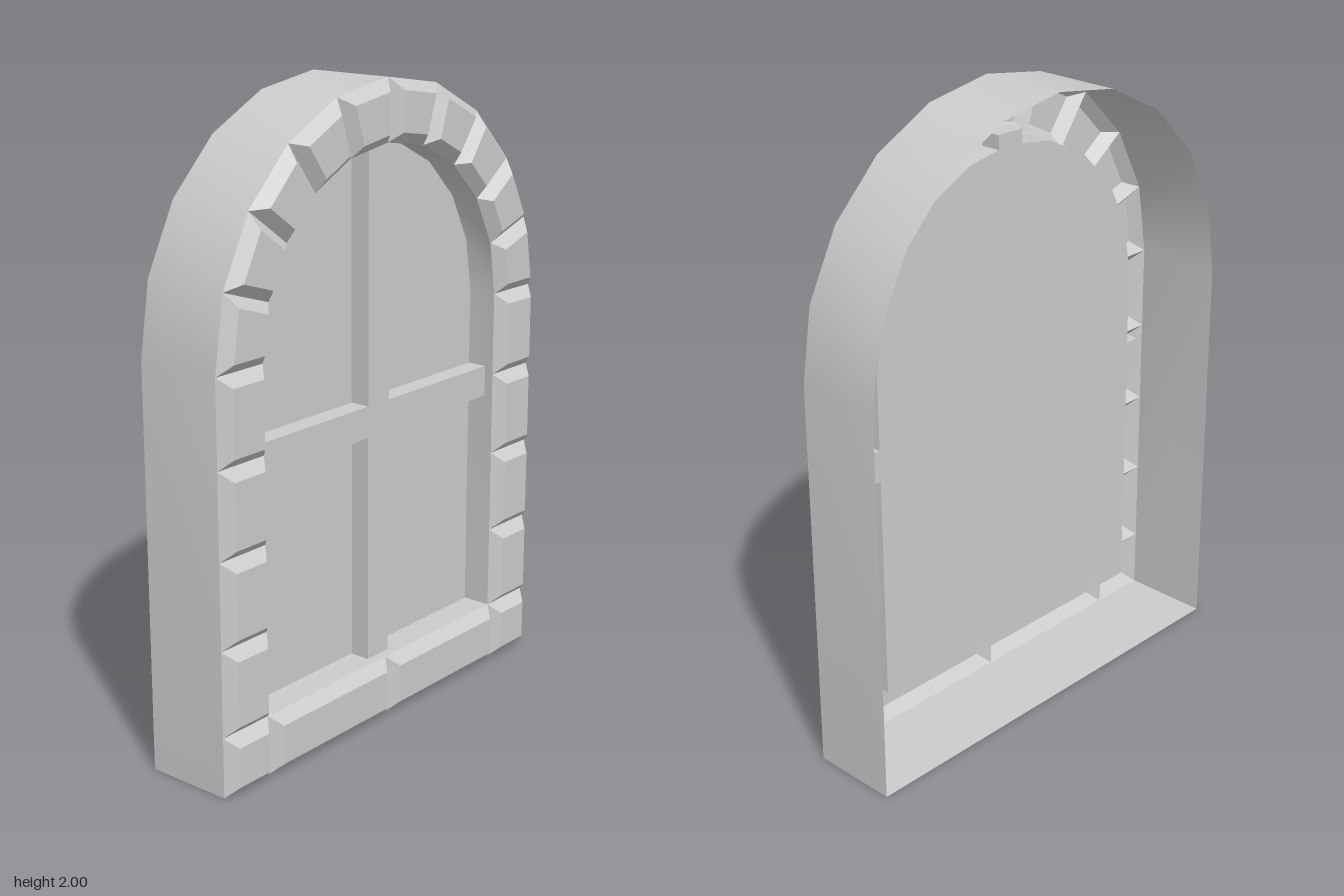
import * as THREE from 'three';
import { toCreasedNormals } from 'three/addons/utils/BufferGeometryUtils.js';

const BACK = -0.16, BASE = 0.125, FRONT = 0.16, PANE = 0.03;
const OUTER = 0.74, INNER = 0.55, SILL = 0.19, SPRING = 1.263, BEVEL = 0.033;
const ARCH_STONES = 10;

const material = new THREE.MeshStandardMaterial({ color: 0xcccccc, side: THREE.DoubleSide });

function addMesh(parent, geometry, name) {
  const mesh = new THREE.Mesh(geometry, material);
  mesh.name = name;
  parent.add(mesh);
  return mesh;
}

// Point on the arch, counted from the model's left
function archPoint(r, i) {
  const a = (i / ARCH_STONES) * Math.PI;
  return new THREE.Vector2(r * Math.cos(a), SPRING + r * Math.sin(a));
}

// Counter-clockwise outline: straight jambs below a faceted half circle
function outline(r, bottom) {
  const pts = [new THREE.Vector2(-r, bottom), new THREE.Vector2(r, bottom)];
  for (let i = 0; i <= ARCH_STONES; i++) pts.push(archPoint(r, i));
  return pts;
}

// Band of quads joining a closed outline at one depth to another
function band(a, za, b, zb) {
  const v = [];
  a.forEach((p, i) => {
    const j = (i + 1) % a.length, q = a[j], r = b[j], s = b[i];
    v.push(p.x, p.y, za, q.x, q.y, za, r.x, r.y, zb);
    v.push(p.x, p.y, za, r.x, r.y, zb, s.x, s.y, zb);
  });
  return v;
}

function fromTriangles(v, crease) {
  const g = new THREE.BufferGeometry();
  g.setAttribute('position', new THREE.Float32BufferAttribute(v, 3));
  g.computeVertexNormals();
  return crease ? toCreasedNormals(g, crease) : g;
}

// Move every edge of a convex outline inwards by d
function inset(pts, d) {
  const n = pts.length;
  const normal = (i) => {
    const e = pts[(i + 1) % n].clone().sub(pts[i]).normalize();
    return new THREE.Vector2(-e.y, e.x);
  };
  return pts.map((p, i) => {
    const n1 = normal((i + n - 1) % n), n2 = normal(i);
    const k = d / (1 + n1.dot(n2));
    return p.clone().add(n1.add(n2).multiplyScalar(k));
  });
}

// Bevelled, open-backed stone face over four counter-clockwise corners
function stone(corners) {
  const top = inset(corners, BEVEL);
  const v = band(corners, BASE, top, FRONT);
  for (const i of [0, 1, 2, 0, 2, 3]) v.push(top[i].x, top[i].y, FRONT);
  return fromTriangles(v);
}

function rect(x0, x1, y0, y1) {
  return [[x0, y0], [x1, y0], [x1, y1], [x0, y1]].map(([x, y]) => new THREE.Vector2(x, y));
}

function bar(parent, name, x0, x1, y0, y1) {
  const depth = 0.065;
  const g = new THREE.BoxGeometry(x1 - x0, y1 - y0, depth);
  addMesh(parent, g, name).position.set((x0 + x1) / 2, (y0 + y1) / 2, PANE + depth / 2);
}

export function createModel() {
  const model = new THREE.Group();
  model.name = 'archedWindow';

  // Hollow frame: outer wall and inner reveal
  const outer = outline(OUTER, 0), inner = outline(INNER, SILL);
  addMesh(model, fromTriangles(band(outer, BACK, outer, BASE), 0.6), 'outerWall');
  addMesh(model, fromTriangles(band(inner, BASE, inner, PANE), 0.6), 'reveal');

  // Pane closing the opening
  const pane = new THREE.ShapeGeometry(new THREE.Shape(inner));
  pane.translate(0, 0, PANE);
  addMesh(model, pane, 'pane');

  // Cross bars, running slightly past the reveal
  const bars = new THREE.Group();
  bars.name = 'crossBars';
  bar(bars, 'verticalBar', -0.05, 0.05, SILL, 1.85);
  bar(bars, 'leftBar', 0.05, 0.6, 0.918, 1.018);
  bar(bars, 'rightBar', -0.6, -0.05, 0.918, 1.018);
  model.add(bars);

  // Sill and jamb stones, mirrored about the middle
  const stones = new THREE.Group();
  stones.name = 'stones';
  const jambs = 4, step = (SPRING - SILL) / jambs;
  for (const s of [1, -1]) {
    const block = (x0, x1, y0, y1, name) =>
      addMesh(stones, stone(s > 0 ? rect(x0, x1, y0, y1) : rect(-x1, -x0, y0, y1)), name);
    block(0, INNER, 0, SILL, 'sillStone');
    block(INNER, OUTER, 0, SILL, 'cornerStone');
    for (let i = 0; i < jambs; i++) {
      block(INNER, OUTER, SILL + i * step, SILL + (i + 1) * step, 'jambStone');
    }
  }

  // Arch stones
  for (let i = 0; i < ARCH_STONES; i++) {
    const corners = [archPoint(INNER, i), archPoint(OUTER, i), archPoint(OUTER, i + 1), archPoint(INNER, i + 1)];
    addMesh(stones, stone(corners), 'archStone');
  }
  model.add(stones);
  return model;
}
